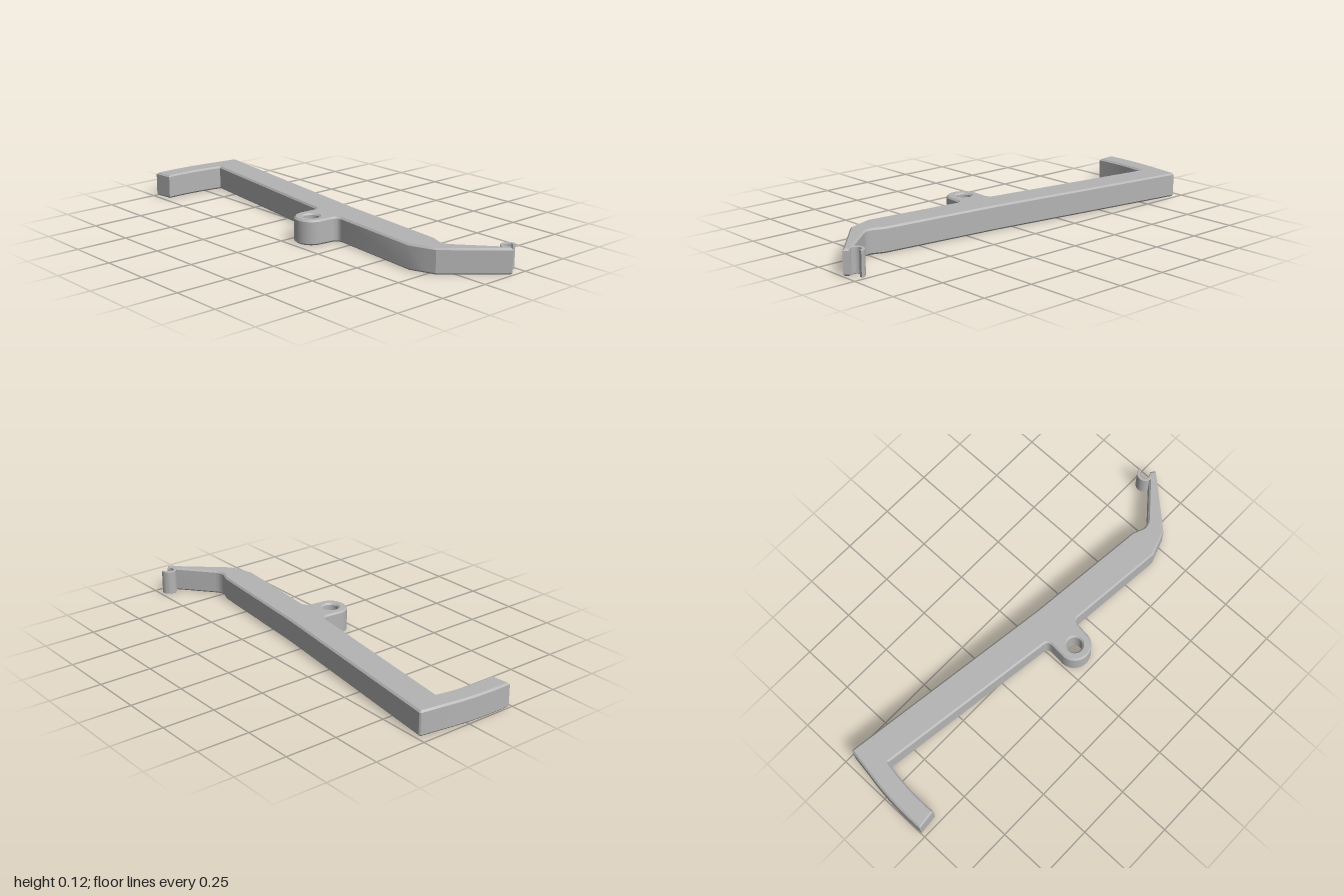
import * as THREE from 'three';
import { toCreasedNormals } from 'three/addons/utils/BufferGeometryUtils.js';

const HEIGHT = 0.117;

// Extrude a plan drawn in (x, z) up to HEIGHT, with chamfered top and bottom edges
function slab(plan, chamfer) {
  const geo = new THREE.ExtrudeGeometry(plan, {
    depth: HEIGHT - 2 * chamfer,
    bevelEnabled: chamfer > 0,
    bevelThickness: chamfer,
    bevelSize: chamfer,
    bevelOffset: -chamfer,
    bevelSegments: 1,
    curveSegments: 16,
  });
  geo.rotateX(Math.PI / 2);
  geo.translate(0, HEIGHT - chamfer, 0);
  return toCreasedNormals(geo, 0.5);
}

export function createModel() {
  const group = new THREE.Group();
  const grey = new THREE.MeshStandardMaterial({ color: 0xb4b4b4 });
  grey.name = 'grey';

  const add = (name, geo) => {
    const mesh = new THREE.Mesh(geo, grey);
    mesh.name = name;
    group.add(mesh);
  };

  // Bent bar with a hooked end, a slanted arm and a pivot lug
  const bar = new THREE.Shape();
  bar.moveTo(-0.945, -0.235);
  bar.lineTo(0.09, -0.094);
  bar.lineTo(0.68, -0.036);
  bar.lineTo(0.735, -0.014);
  bar.quadraticCurveTo(0.765, -0.012, 0.785, -0.03);
  bar.lineTo(0.95, -0.168);
  bar.lineTo(0.978, -0.187);
  bar.lineTo(0.998, -0.17);
  bar.lineTo(0.785, 0.068);
  bar.lineTo(0.75, 0.08);
  bar.lineTo(0.665, 0.11);
  bar.lineTo(0.2, 0.066);
  bar.quadraticCurveTo(0.172, 0.064, 0.168, 0.092);
  bar.lineTo(0.162, 0.145);
  bar.absarc(0.085, 0.145, 0.077, 0, Math.PI, false);
  bar.lineTo(0.013, 0.078);
  bar.quadraticCurveTo(0.017, 0.046, -0.01, 0.042);
  bar.lineTo(-0.882, -0.08);
  bar.quadraticCurveTo(-0.912, 0.06, -0.904, 0.22);
  bar.lineTo(-0.998, 0.23);
  bar.quadraticCurveTo(-1.004, 0.05, -0.978, -0.1);
  bar.lineTo(-0.96, -0.225);
  bar.quadraticCurveTo(-0.958, -0.237, -0.945, -0.235);

  // Pivot hole
  const hole = new THREE.Path();
  hole.absarc(0.085, 0.145, 0.036, 0, Math.PI * 2, true);
  bar.holes.push(hole);
  add('bar', slab(bar, 0.008));

  // Open C-shaped clip at the tip of the slanted arm
  const clip = new THREE.Shape();
  const start = 0.6, end = 4.75;
  clip.absarc(0.951, -0.197, 0.038, start, end, false);
  clip.absarc(0.951, -0.197, 0.024, end, start, true);
  clip.closePath();
  add('clip', slab(clip, 0.002));

  return group;
}
